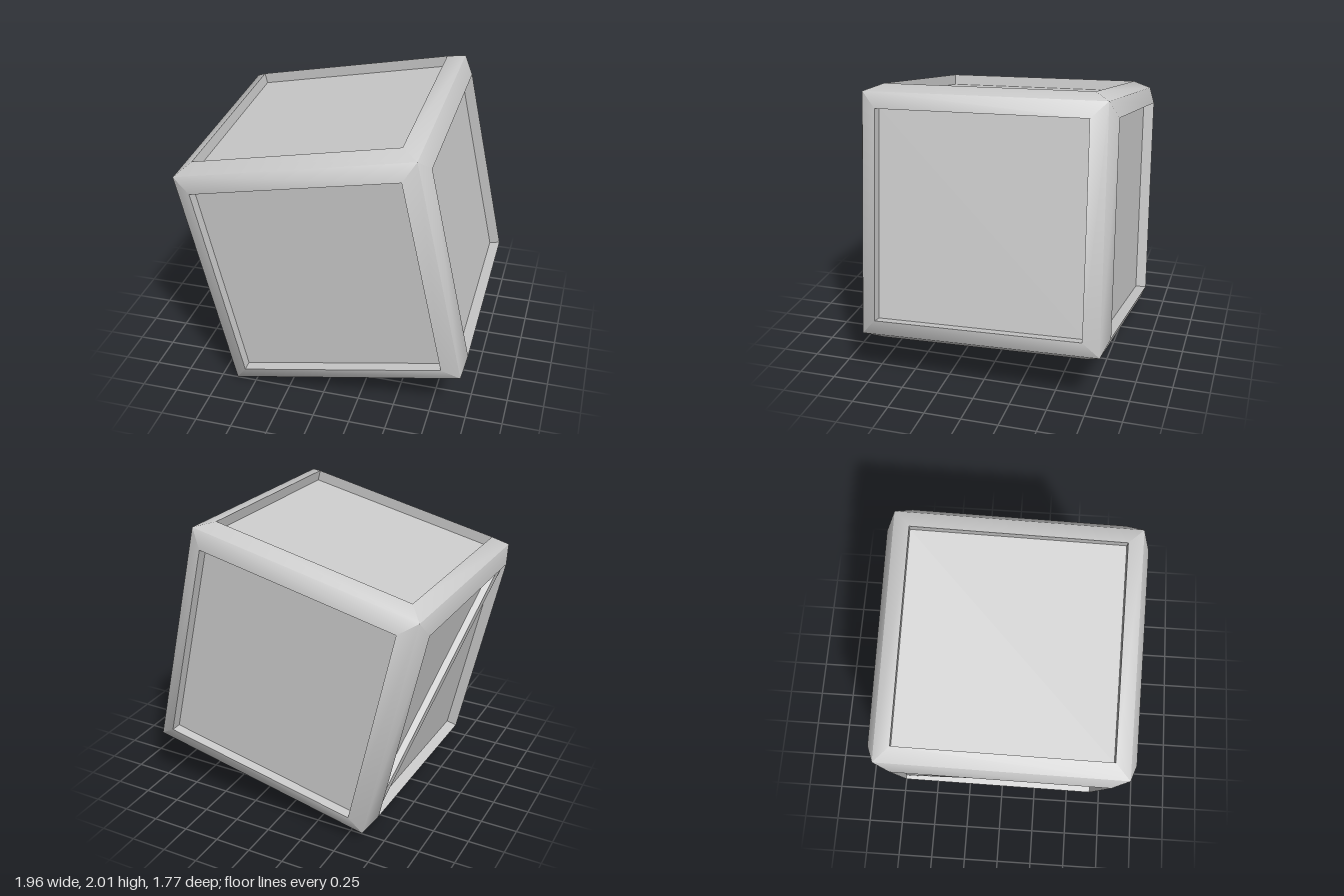
import * as THREE from 'three';
import { mergeGeometries, toCreasedNormals } from 'three/addons/utils/BufferGeometryUtils.js';

const CORNER = 0.808; // half size at the crate's outer corners
const RIM = 0.702; // half size of each face opening
const RIM_HEIGHT = 0.857; // raised inner rim, measured from the centre
const PANEL_HEIGHT = 0.782; // sunken panel, measured from the centre

// Rotations turning a face that points up onto each side of the crate
const SIDES = [
  ['top', 0, 0],
  ['front', Math.PI / 2, 0],
  ['bottom', Math.PI, 0],
  ['back', -Math.PI / 2, 0],
  ['left', 0, -Math.PI / 2],
  ['right', 0, Math.PI / 2],
];

export function createModel() {
  const model = new THREE.Group();
  model.name = 'crate';
  const material = new THREE.MeshStandardMaterial({ color: 0xcccccc });

  const add = (name, geometry) => {
    const mesh = new THREE.Mesh(geometry, material);
    mesh.name = name;
    model.add(mesh);
  };

  // Frame: a square ring per side, sloping up to the rim and down to the panel
  const profile = [
    [CORNER, CORNER],
    [RIM, RIM_HEIGHT],
    [RIM, PANEL_HEIGHT],
  ].map(([half, height]) => new THREE.Vector2(half * Math.SQRT2, height));
  const rings = SIDES.map(([, rx, rz]) =>
    new THREE.LatheGeometry(profile, 4, Math.PI / 4).rotateX(rx).rotateZ(rz));
  add('frame', toCreasedNormals(mergeGeometries(rings), 1.0));

  // Sunken flat panels
  for (const [side, rx, rz] of SIDES) {
    const panel = new THREE.PlaneGeometry(2 * RIM, 2 * RIM)
      .rotateX(-Math.PI / 2)
      .translate(0, PANEL_HEIGHT, 0)
      .rotateX(rx)
      .rotateZ(rz);
    add(`${side}Panel`, panel);
  }

  // Diagonal brace on one side, its ends trimmed to the opening's corners
  const cut = RIM - 0.058;
  const outline = [
    [-RIM, -RIM], [-cut, -RIM], [RIM, cut], [RIM, RIM], [cut, RIM], [-RIM, -cut],
  ].map(([x, y]) => new THREE.Vector2(x, y));
  const brace = new THREE.ExtrudeGeometry(new THREE.Shape(outline), { depth: 0.058, bevelEnabled: false })
    .translate(0, 0, PANEL_HEIGHT - 0.012)
    .rotateY(-Math.PI / 2);
  add('diagonalBrace', brace);

  // The crate rests tilted on one edge
  model.rotation.set(0.036, 0, 0.204);
  model.position.y = 1.002;

  const root = new THREE.Group();
  root.name = 'tiltedCrate';
  root.add(model);
  return root;
}
